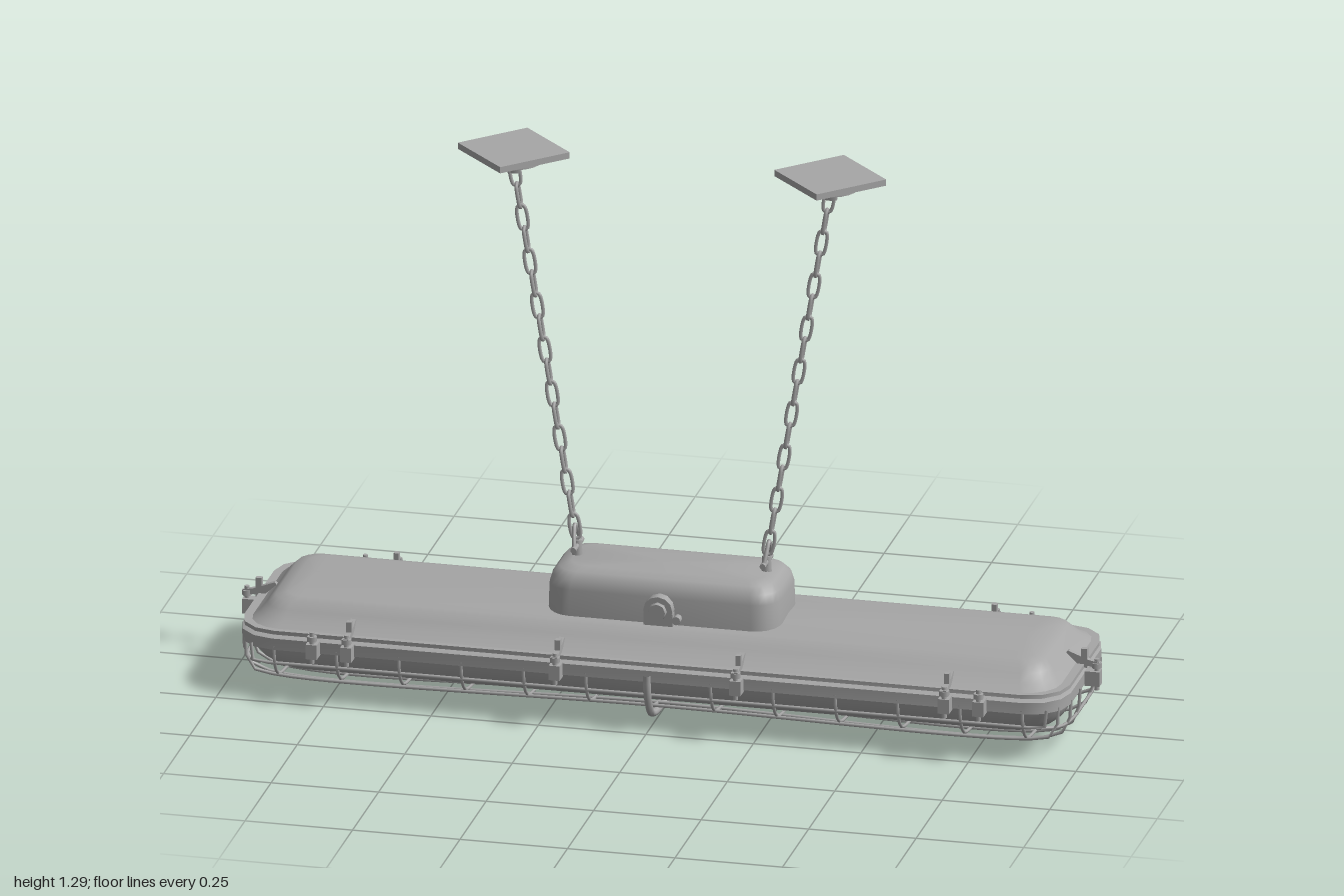
import * as THREE from 'three';
import { mergeVertices, toCreasedNormals } from 'three/addons/utils/BufferGeometryUtils.js';

const V = (x, y, z) => new THREE.Vector3(x, y, z);

// Closed solid through rounded rectangles [halfX, halfZ, cornerRadius, y], listed bottom to top
function loft(rings, seg = 4, crease = 0.6) {
  const pos = [], idx = [], n = 4 * (seg + 1);
  for (const [hx, hz, r, y] of rings) {
    for (let c = 0; c < 4; c++) {
      const sx = c === 0 || c === 3 ? 1 : -1, sz = c < 2 ? -1 : 1;
      for (let k = 0; k <= seg; k++) {
        const a = (c + k / seg) * Math.PI / 2;
        pos.push(sx * (hx - r) + r * Math.cos(a), y, sz * (hz - r) - r * Math.sin(a));
      }
    }
  }
  const top = (rings.length - 1) * n, cb = rings.length * n, ct = cb + 1;
  pos.push(0, rings[0][3], 0, 0, rings[rings.length - 1][3], 0);
  for (let j = 0; j < n; j++) {
    const k = (j + 1) % n;
    for (let i = 0; i < top; i += n) idx.push(i + j, i + k, i + n + k, i + j, i + n + k, i + n + j);
    idx.push(cb, k, j, ct, top + j, top + k);
  }
  const g = new THREE.BufferGeometry();
  g.setAttribute('position', new THREE.Float32BufferAttribute(pos, 3));
  g.setIndex(idx);
  return toCreasedNormals(mergeVertices(g), crease);
}

export function createModel() {
  const model = new THREE.Group();
  model.name = 'hangingLamp';
  const grey = new THREE.MeshStandardMaterial({ color: 0xa6a6a6 });
  grey.name = 'grey metal';

  const add = (parent, name, geo, x = 0, y = 0, z = 0) => {
    const m = new THREE.Mesh(geo, grey);
    m.name = name;
    m.position.set(x, y, z);
    parent.add(m);
    return m;
  };
  const wire = (parent, name, pts, r, steps = 24, closed = false, sides = 6) =>
    add(parent, name, new THREE.TubeGeometry(
      new THREE.CatmullRomCurve3(pts, closed, 'centripetal'), steps, r, sides, closed));

  // Lamp body
  add(model, 'diffuser', loft([
    [0.87, 0.10, 0.08, 0.036], [0.905, 0.15, 0.09, 0.048], [0.93, 0.185, 0.10, 0.072],
    [0.945, 0.205, 0.10, 0.10], [0.95, 0.215, 0.10, 0.13]], 5, 0.9));
  add(model, 'rim', loft([
    [0.95, 0.222, 0.09, 0.118], [0.963, 0.235, 0.09, 0.121],
    [0.963, 0.235, 0.09, 0.148], [0.955, 0.228, 0.09, 0.152]], 3));
  add(model, 'flange', loft([[0.96, 0.232, 0.09, 0.157], [0.96, 0.232, 0.09, 0.166]], 3));
  add(model, 'gasket', loft([[0.94, 0.215, 0.08, 0.145], [0.94, 0.215, 0.08, 0.16]], 3));
  add(model, 'housing', loft([
    [0.945, 0.225, 0.08, 0.162], [0.925, 0.195, 0.07, 0.178], [0.912, 0.172, 0.06, 0.195],
    [0.895, 0.155, 0.05, 0.212], [0.87, 0.135, 0.04, 0.217], [0.83, 0.001, 0.0005, 0.227]], 4, 0.7));

  // Junction box on top
  add(model, 'junctionBox', loft([
    [0.272, 0.117, 0.06, 0.20], [0.27, 0.114, 0.06, 0.28], [0.264, 0.108, 0.057, 0.302],
    [0.25, 0.094, 0.05, 0.318], [0.225, 0.07, 0.04, 0.325]], 5, 1.0));
  for (const s of [1, -1]) {
    const gland = new THREE.Group();
    gland.name = 'cableGland';
    if (s < 0) gland.rotation.y = Math.PI;
    add(gland, 'glandCollar', new THREE.CylinderGeometry(0.034, 0.034, 0.03, 12), 0, 0.256, 0.122).rotation.x = Math.PI / 2;
    add(gland, 'glandCap', new THREE.CylinderGeometry(0.02, 0.022, 0.014, 8), 0, 0.256, 0.141).rotation.x = Math.PI / 2;
    add(gland, 'glandFoot', new THREE.BoxGeometry(0.068, 0.03, 0.026), 0, 0.235, 0.122);
    add(gland, 'glandScrew', new THREE.CylinderGeometry(0.01, 0.01, 0.03, 8), 0.042, 0.235, 0.12).rotation.x = Math.PI / 2;
    model.add(gland);
  }

  // Clips around the rim, each built pointing along +z
  const wing = new THREE.Shape([[-0.02, 0.162], [0.028, 0.162], [0.028, 0.172], [0.005, 0.176],
    [-0.045, 0.195], [-0.05, 0.19]].map(p => new THREE.Vector2(...p)));
  const wingGeo = new THREE.ExtrudeGeometry(wing, { depth: 0.012, bevelEnabled: false });
  wingGeo.translate(0, 0, -0.006).rotateY(-Math.PI / 2);
  const clip = (x, z, turn, lever) => {
    const g = new THREE.Group();
    g.name = 'rimClip';
    g.position.set(x, 0, z);
    g.rotation.y = turn;
    add(g, 'clipBlock', new THREE.BoxGeometry(0.026, 0.035, 0.034), 0, 0.134, 0.012);
    add(g, 'clipBolt', new THREE.CylinderGeometry(0.006, 0.006, 0.075, 8), 0, 0.142, 0.02);
    add(g, 'clipNut', new THREE.CylinderGeometry(0.012, 0.012, 0.012, 6), 0, 0.164, 0.02);
    if (lever) {
      add(g, 'clipLever', wingGeo);
      add(g, 'clipPost', new THREE.BoxGeometry(0.012, 0.045, 0.014), 0, 0.18, -0.008);
    }
    model.add(g);
  };
  for (const s of [1, -1]) {
    for (const x of [-0.695, -0.21, 0.21, 0.695]) clip(x, s * 0.235, s > 0 ? 0 : Math.PI, true);
    for (const x of [-0.775, 0.775]) clip(x, s * 0.235, s > 0 ? 0 : Math.PI, false);
    clip(s * 0.968, 0, s * Math.PI / 2, true);
  }

  // Wire guard: hoops across, then rods along the length
  const cage = new THREE.Group();
  cage.name = 'wireGuard';
  model.add(cage);
  const mirrored = half => [...half, ...half.slice(0, -1).reverse().map(p => V(p.x, p.y, -p.z))];
  for (let i = 0; i < 13; i++) {
    const x = -0.87 + i * 0.145;
    wire(cage, 'guardHoop', mirrored([V(x, 0.13, 0.232), V(x, 0.085, 0.222), V(x, 0.05, 0.192),
      V(x, 0.033, 0.1), V(x, 0.028, 0)]), 0.004);
  }
  for (const [z, y, reach] of [[0.065, 0.03, 0.965], [0.14, 0.038, 0.962], [0.192, 0.05, 0.945], [0.222, 0.085, 0.925]]) {
    for (const s of [1, -1]) {
      const end = e => [V(e * reach, 0.13, s * z), V(e * (reach - 0.008), Math.max(0.065, y), s * z),
        V(e * (reach - 0.045), y, s * z)];
      wire(cage, 'guardRod', [...end(-1), V(0, y, s * z), ...end(1).reverse()], 0.004, 48);
    }
  }
  for (const s of [1, -1]) {
    wire(cage, 'guardEndBar', mirrored([V(s * 0.9, 0.085, 0.222), V(s * 0.945, 0.075, 0.17), V(s * 0.957, 0.068, 0)]), 0.004);
  }
  wire(model, 'centreStrap', mirrored([V(0, 0.14, 0.242), V(0, 0.09, 0.235), V(0, 0.035, 0.2),
    V(0, 0.017, 0.1), V(0, 0.009, 0)]), 0.009, 32, false, 8);

  // Suspension: lug, chain and ceiling plate on each side
  const linkPts = [[0.01, -0.02], [0.01, 0.02], [0.006, 0.028], [-0.006, 0.028],
    [-0.01, 0.02], [-0.01, -0.02], [-0.006, -0.028], [0.006, -0.028]].map(([x, y]) => V(x, y, 0));
  const linkGeo = new THREE.TubeGeometry(new THREE.CatmullRomCurve3(linkPts, true), 24, 0.0045, 6, true);
  for (const s of [1, -1]) {
    const hanger = new THREE.Group();
    hanger.name = 'suspension';
    model.add(hanger);
    const lx = s * 0.22, px = s * 0.368;
    add(hanger, 'lugPost', new THREE.CylinderGeometry(0.01, 0.013, 0.05, 8), lx, 0.335, 0);
    add(hanger, 'lugPin', new THREE.CylinderGeometry(0.007, 0.007, 0.08, 8), lx, 0.347, 0).rotation.x = Math.PI / 2;
    wire(hanger, 'shackle', mirrored([V(lx, 0.345, 0.03), V(lx + s * 0.004, 0.375, 0.016), V(lx + s * 0.006, 0.396, 0)]), 0.005);

    const from = V(s * 0.226, 0.392, 0), to = V(s * 0.365, 1.232, 0), count = 17;
    const tilt = new THREE.Quaternion().setFromUnitVectors(V(0, 1, 0), to.clone().sub(from).normalize());
    for (let i = 0; i < count; i++) {
      const link = add(hanger, 'chainLink', linkGeo);
      link.position.lerpVectors(from, to, i / (count - 1));
      link.quaternion.copy(tilt);
      if (i % 2 === 0) link.rotateY(0.15);
      else link.rotateY(Math.PI / 2);
    }

    add(hanger, 'ceilingHook', new THREE.CylinderGeometry(0.02, 0.016, 0.035, 8), px, 1.25, 0).scale.z = 0.35;
    add(hanger, 'ceilingDisc', new THREE.CylinderGeometry(0.066, 0.066, 0.018, 20), px, 1.272, 0);
    add(hanger, 'ceilingPlate', new THREE.BoxGeometry(0.184, 0.015, 0.184), px, 1.286, 0).rotation.y = Math.PI / 4;
  }
  return model;
}
